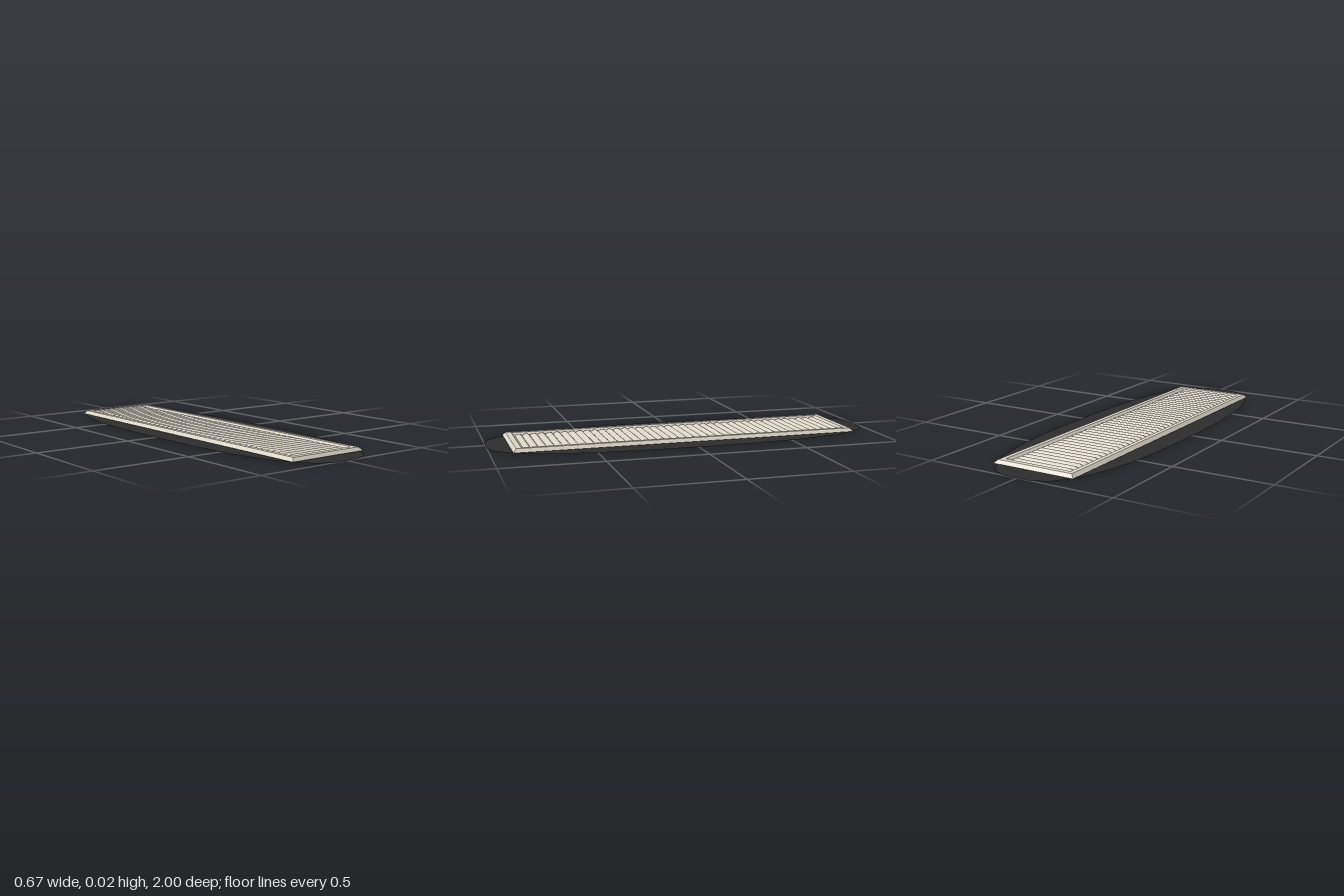
import * as THREE from 'three';

const beige = new THREE.MeshStandardMaterial({ color: 0xd8d2c4, side: THREE.DoubleSide });
const beigeFlat = new THREE.MeshStandardMaterial({ color: 0xd8d2c4, side: THREE.DoubleSide, flatShading: true });
const dark = new THREE.MeshStandardMaterial({ color: 0x2c2c2c, side: THREE.DoubleSide });

function addMesh(group, name, geometry, material) {
  const mesh = new THREE.Mesh(geometry, material);
  mesh.name = name;
  group.add(mesh);
  return mesh;
}

// Flat faceted oval: one quadrant mirrored into four
function ovalGeometry() {
  const quadrant = [[0.066, 1], [0.148, 0.967], [0.205, 0.89], [0.25, 0.8],
    [0.284, 0.68], [0.311, 0.53], [0.328, 0.31], [0.333, 0.1]];
  const right = [...quadrant, ...quadrant.map(([x, z]) => [x, -z]).reverse()];
  const outline = [...right, ...right.map(([x, z]) => [-x, z]).reverse()];
  const shape = new THREE.Shape(outline.map(([x, z]) => new THREE.Vector2(x, z)));
  return new THREE.ShapeGeometry(shape).rotateX(-Math.PI / 2);
}

// Rectangular frame: loops [halfWidth, y, halfLength] joined by quads
function frameGeometry(loops) {
  const positions = [];
  const index = [];
  const corners = [[1, 1], [1, -1], [-1, -1], [-1, 1]];
  for (const [w, y, l] of loops) {
    for (const [sx, sz] of corners) positions.push(sx * w, y, sz * l);
  }
  for (let i = 0; i < loops.length - 1; i++) {
    for (let j = 0; j < 4; j++) {
      const a = i * 4 + j, b = i * 4 + (j + 1) % 4;
      index.push(a, b, b + 4, a, b + 4, a + 4);
    }
  }
  const geometry = new THREE.BufferGeometry();
  geometry.setAttribute('position', new THREE.Float32BufferAttribute(positions, 3));
  geometry.setIndex(index);
  geometry.computeVertexNormals();
  return geometry;
}

// Ribbed sheet: rounded ridges along z that fade into the side margins
function ribGeometry(width, length, count) {
  const geometry = new THREE.PlaneGeometry(width, length, 16, count * 8).rotateX(-Math.PI / 2);
  const p = geometry.attributes.position;
  for (let i = 0; i < p.count; i++) {
    const phase = (p.getZ(i) / length + 0.5) * count;
    const ridge = Math.pow(Math.abs(Math.sin(Math.PI * phase)), 0.8);
    const edge = Math.min(1, (width / 2 - Math.abs(p.getX(i))) / 0.02);
    p.setY(i, 0.006 + (0.003 + 0.01 * edge) * ridge);
  }
  geometry.computeVertexNormals();
  return geometry;
}

export function createModel() {
  const group = new THREE.Group();
  group.name = 'ventGrille';

  addMesh(group, 'ovalBase', ovalGeometry(), dark);

  // Bevelled outer edge, flat rim and shallow inner slope
  addMesh(group, 'frame', frameGeometry([
    [0.222, 0.003, 0.89],
    [0.205, 0.02, 0.875],
    [0.182, 0.02, 0.848],
    [0.168, 0.007, 0.832],
  ]), beigeFlat);

  // Louvre field inside the frame
  addMesh(group, 'louvres', ribGeometry(0.34, 1.67, 42), beige);
  return group;
}
